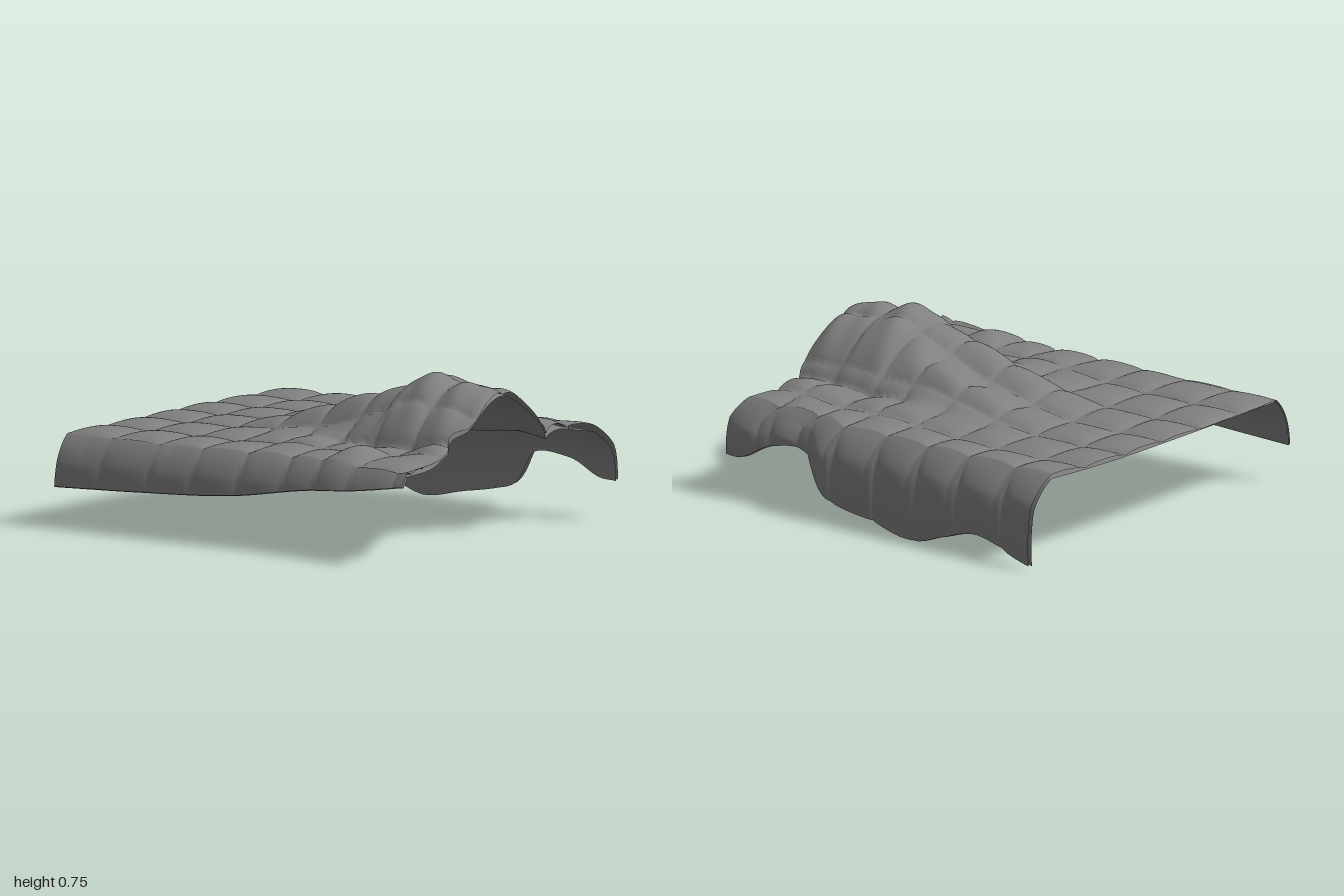
import * as THREE from 'three';

const { lerp, clamp, smoothstep } = THREE.MathUtils;

// Smooth curve through [position, value] pairs
function track(pts) {
  const slope = (i) => {
    const a = pts[Math.max(i - 1, 0)], b = pts[Math.min(i + 1, pts.length - 1)];
    return (b[1] - a[1]) / (b[0] - a[0]);
  };
  return (p) => {
    p = clamp(p, pts[0][0], pts[pts.length - 1][0]);
    let i = 0;
    while (i < pts.length - 2 && p > pts[i + 1][0]) i++;
    const [x0, y0] = pts[i], [x1, y1] = pts[i + 1], w = x1 - x0, t = (p - x0) / w;
    const t2 = t * t, t3 = t2 * t;
    return y0 * (2 * t3 - 3 * t2 + 1) + y1 * (3 * t2 - 2 * t3)
      + w * (slope(i) * (t3 - 2 * t2 + t) + slope(i + 1) * (t3 - t2));
  };
}

// Outline of the cloth seen from above
const frontEdge = track([[-0.87, 1], [-0.45, 0.93], [-0.35, 0.87], [-0.28, 0.92], [-0.1, 0.9],
  [0.1, 0.855], [0.33, 0.87], [0.45, 0.82], [0.62, 0.81], [0.83, 0.88]]);
const backEdge = track([[-0.9, -0.985], [0, -0.995], [0.45, -0.985], [0.8, -0.945], [0.9, -0.91]]);

// Bend line and hanging length of the two sides, along z
const bendRight = track([[-1, 0.775], [-0.6, 0.775], [-0.2, 0.775], [0.1, 0.765], [0.3, 0.775],
  [0.5, 0.73], [0.7, 0.745], [0.9, 0.735]]);
const bendLeft = track([[-1, 0.795], [-0.2, 0.775], [0.35, 0.75], [0.7, 0.785], [1, 0.825]]);
const hemRight = track([[-0.91, 0.01], [-0.8, 0.04], [-0.6, 0.1], [-0.4, 0.05], [-0.23, 0], [0, 0.04],
  [0.2, 0.075], [0.3, 0.11], [0.45, 0.27], [0.65, 0.265], [0.8, 0.19], [0.91, 0.18]]);
const hemLeft = track([[-1, 0.18], [-0.5, 0.2], [0, 0.23], [0.4, 0.29], [0.7, 0.32], [1, 0.365]]);

// Height of the long raised form under the cloth
const ridge = track([[-0.6, 0], [-0.45, 0.01], [-0.35, 0.025], [-0.2, 0.065], [0, 0.125], [0.2, 0.19],
  [0.3, 0.215], [0.42, 0.25], [0.445, 0.285], [0.55, 0.305], [0.62, 0.298], [0.67, 0.28],
  [0.8, 0.275], [0.87, 0.25], [0.93, 0.225]]);

const bump = (x, z, cx, cz, rx, rz) => Math.exp(-(((x - cx) / rx) ** 2) - ((z - cz) / rz) ** 2);

// Quilted cushions between stitch lines
const seamsX = [-1.06, -0.79, -0.52, -0.23, 0.04, 0.31, 0.58, 0.83, 1.1];
const seamsZ = [-1, -0.74, -0.47, -0.23, 0.02, 0.26, 0.44, 0.66, 0.92, 1.18];
function cushion(p, seams) {
  let i = 0;
  while (i < seams.length - 2 && p > seams[i + 1]) i++;
  const t = clamp((p - seams[i]) / (seams[i + 1] - seams[i]), 0, 1);
  return Math.sqrt(4 * t * (1 - t));
}
function puff(x, z) {
  const wx = x + 0.012 * Math.sin(5 * z + 1), wz = z + 0.015 * Math.sin(4 * x + 0.6);
  return 0.03 * cushion(wx, seamsX) ** 1.2 * cushion(wz, seamsZ);
}

// Unquilted height of the cloth
function drape(x, z) {
  // Broad rounded form at the front, splitting into two low ridges behind
  const u = (x + 0.03) / (x < -0.03 ? 0.35 : 0.41);
  const broad = Math.abs(u) < 1 ? Math.cos(u * Math.PI / 2) ** 0.72 : 0;
  const split = bump(x, 0, -0.09, 0, 0.17, 1) + 0.8 * bump(x, 0, 0.22, 0, 0.13, 1);
  const form = lerp(Math.min(split, 1.02), broad, smoothstep(z, 0.05, 0.42));
  // Lifted cloth to either side, with a few wrinkles
  const sides = 0.06 * bump(x, z, -0.45, 0.86, 0.12, 0.14) + 0.045 * bump(x, z, -0.6, 0.56, 0.16, 0.12)
    + 0.055 * bump(x, z, 0.52, 0.68, 0.16, 0.18) + 0.03 * bump(x, z, -0.5, 0.15, 0.14, 0.2)
    + 0.03 * bump(x, z, 0.5, 0.2, 0.12, 0.25);
  const wrinkle = 0.007 * Math.sin(38 * z + 9 * x) * broad * smoothstep(z, 0.3, 0.5);
  return 0.41 + ridge(z) * form + sides + wrinkle;
}

// One cloth layer: left side, top and right side in every row; quilting 1 = padded, 0 = plain
function layerGeometry(quilting, rows, top, skirt) {
  const cols = top + 2 * skirt, pos = [], index = [];
  const height = (x, z) => drape(x, z) + quilting * puff(x, z);
  for (let r = 0; r <= rows; r++) {
    const v = r / rows;
    const zl = lerp(-0.985, 1, v), zr = lerp(-0.91, 0.91, v);
    const xl = -bendLeft(zl), xr = bendRight(zr);
    for (let c = 0; c <= cols; c++) {
      const x = lerp(xl, xr, clamp((c - skirt) / top, 0, 1));
      const z0 = lerp(backEdge(x), frontEdge(x), v);
      const y0 = height(x, z0);
      const hang = Math.max(skirt - c, c - skirt - top, 0) / skirt;
      if (hang === 0) {
        pos.push(x, y0, z0);
        continue;
      }
      // Hanging side: rounds over the edge, then falls nearly straight
      const left = c < skirt;
      const z = lerp(z0, left ? zl : zr, Math.min(hang * 2, 1));
      const y = lerp(y0, left ? hemLeft(z) : hemRight(z), hang ** 1.5);
      const fall = y0 - y;
      const out = left ? 0.1 * (1 - Math.exp(-fall / 0.09))
        : 0.118 * (1 - Math.exp(-fall / 0.11)) - 0.015 * hang ** 4;
      const pad = quilting * (left ? 0.01 : 0.022) * cushion(z, seamsZ) * Math.min(fall * 8, 1);
      pos.push(x + (left ? -1 : 1) * (out + pad), y, z);
    }
  }
  const w = cols + 1;
  for (let r = 0; r < rows; r++) {
    for (let c = 0; c < cols; c++) {
      const i = r * w + c;
      index.push(i, i + w, i + 1, i + 1, i + w, i + w + 1);
    }
  }
  const geo = new THREE.BufferGeometry();
  geo.setAttribute('position', new THREE.Float32BufferAttribute(pos, 3));
  geo.setIndex(index);
  geo.computeVertexNormals();
  return geo;
}

export function createModel() {
  const group = new THREE.Group();
  group.name = 'drapedQuilt';
  const cloth = new THREE.MeshStandardMaterial({ color: 0x808080, side: THREE.DoubleSide });
  const cover = new THREE.Mesh(layerGeometry(1, 180, 130, 28), cloth);
  cover.name = 'quiltedCover';
  // Plain lining just beneath the padding
  const lining = new THREE.Mesh(layerGeometry(0, 110, 80, 20), cloth);
  lining.name = 'lining';
  lining.position.y = -0.004;
  lining.scale.x = 0.997;
  group.add(cover, lining);
  return group;
}
